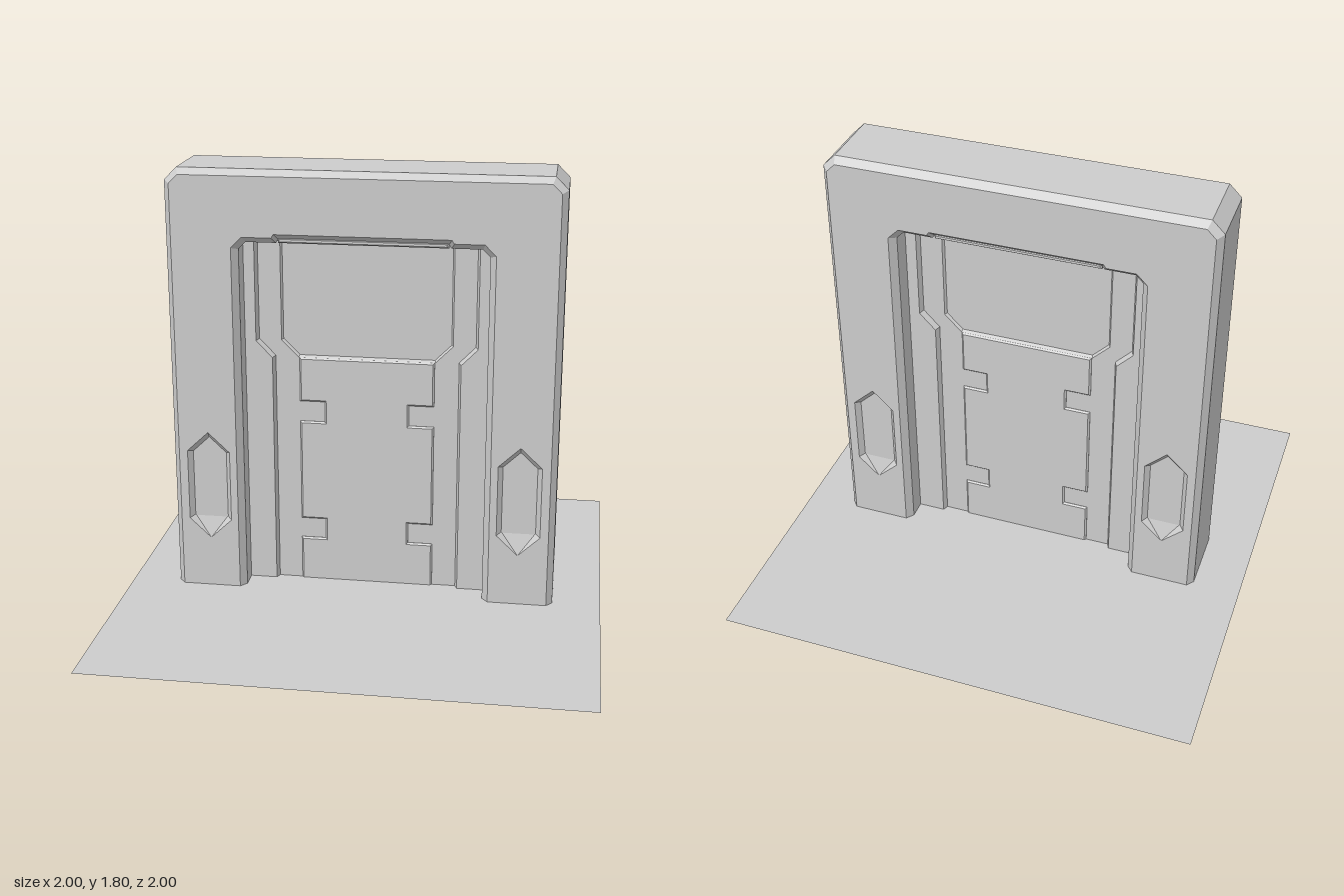
import * as THREE from 'three';

const toShape = (pts) => new THREE.Shape(pts.map(([x, y]) => new THREE.Vector2(x, y)));
const toPath = (pts) => new THREE.Path(pts.map(([x, y]) => new THREE.Vector2(x, y)));

// Right half of a symmetric outline, listed bottom to top, closed by its mirror image.
const mirrored = (half) => [...half, ...half.slice().reverse().map(([x, y]) => [-x, y])];

// Slab centred on z = 0 with chamfered faces at +-front; everything under the floor is flattened to y = 0.
function slab(shape, front, bevelSize = 0, bevelThickness = 0) {
  const depth = 2 * (front - bevelThickness);
  const geo = new THREE.ExtrudeGeometry(shape, {
    depth, bevelEnabled: bevelSize > 0, bevelSegments: 1, bevelSize, bevelThickness,
  });
  geo.translate(0, 0, -depth / 2);
  const p = geo.attributes.position;
  for (let i = 0; i < p.count; i++) p.setY(i, Math.max(0, p.getY(i)));
  geo.computeVertexNormals();
  return geo;
}

export function createModel() {
  const group = new THREE.Group();
  group.name = 'doorway';
  const grey = new THREE.MeshStandardMaterial({ color: 0xcccccc, side: THREE.DoubleSide });
  grey.name = 'light grey';
  const add = (name, geo, parent = group) => {
    const mesh = new THREE.Mesh(geo, grey);
    mesh.name = name;
    parent.add(mesh);
    return mesh;
  };

  // Floor sheet
  add('floor', new THREE.PlaneGeometry(2, 2).rotateX(-Math.PI / 2));

  // Chamfered wall with a door opening, a notch in its header and pointed niches
  const niche = [[0, 0.22], [0.09, 0.305], [0.09, 0.61], [0, 0.695], [-0.09, 0.61], [-0.09, 0.305]];
  const nicheAt = (x) => niche.map(([a, b]) => [a + x, b]);
  const outer = [[0.775, 0], [0.775, 1.738], [0.738, 1.775]];
  const opening = [[0.53, 0], [0.53, 1.485], [0.485, 1.53], [0.365, 1.53], [0.355, 1.545]];
  const wall = toShape([
    ...outer, ...outer.slice().reverse().map(([x, y]) => [-x, y]),
    ...opening.map(([x, y]) => [-x, y]), ...opening.slice().reverse(),
  ]);
  for (const x of [-0.65, 0.65]) wall.holes.push(toPath(nicheAt(x)));
  add('wallFrame', slab(wall, 0.17, 0.025, 0.03));

  // Niche backs and their sloping lower tips
  const A = [-0.09, 0.305, 0.17], B = [0.09, 0.305, 0.17], T = [0, 0.22, 0.17];
  const C = [-0.075, 0.31, 0.147], D = [0.075, 0.31, 0.147];
  const tip = new THREE.BufferGeometry();
  tip.setAttribute('position', new THREE.Float32BufferAttribute([A, T, C, C, T, D, D, T, B].flat(), 3));
  tip.computeVertexNormals();
  for (const x of [-0.65, 0.65]) {
    add('nicheBack', slab(toShape(nicheAt(x)), 0.147));
    for (const turn of [0, Math.PI]) {
      const mesh = add('nicheTip', tip);
      mesh.position.x = x;
      mesh.rotation.y = turn;
    }
  }

  // Stepped jambs inside the opening
  for (const s of [-1, 1]) {
    const jamb = [[0.51, 0], [0.51, 1.51], [0.46, 1.51], [0.46, 1.07], [0.392, 1.0], [0.392, 0]];
    add('jamb', slab(toShape(jamb.map(([x, y]) => [s * x, y])), 0.06, 0.01, 0.022));
  }

  // Door leaf with a shallow upper recess
  const leaf = toShape(mirrored([[0.48, 0], [0.48, 1.55]]));
  leaf.holes.push(toPath(mirrored([[0.285, 1.0], [0.357, 1.072], [0.357, 1.525]])));
  add('doorLeaf', slab(leaf, 0.036, 0.008, 0.012));
  add('upperPanel', slab(toShape(mirrored([[0.4, 0.9], [0.4, 1.54]])), 0.025));

  // Raised centre panel with paired notches on both edges
  const panel = [[0.275, 0]];
  for (const y of [0.19, 0.72]) {
    panel.push([0.275, y - 0.007], [0.17, y - 0.007], [0.17, y + 0.095], [0.275, y + 0.095]);
  }
  panel.push([0.275, 0.993]);
  add('centrePanel', slab(toShape(mirrored(panel)), 0.044, 0.007, 0.007));

  // Small chamfered rail in each header notch
  for (const s of [-1, 1]) {
    const rail = slab(toShape(mirrored([[0.335, 1.512], [0.335, 1.522]])), 0.015, 0.007, 0.01);
    add('headerRail', rail).position.z = s * 0.135;
  }
  return group;
}
